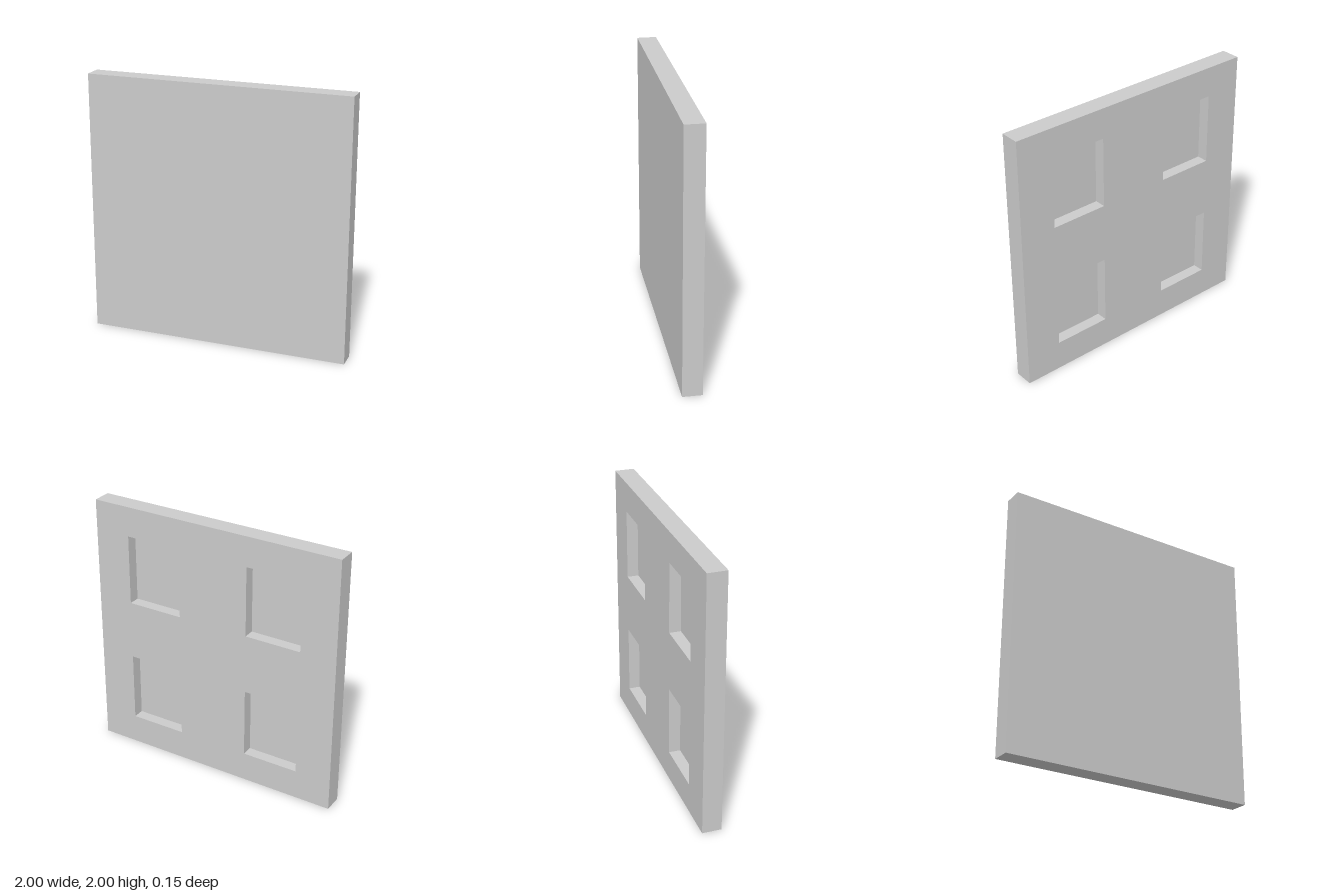
import * as THREE from 'three';

const THICK = 0.146, DEPTH = 0.087;      // panel thickness, pocket depth
const HOLE_W = 0.44, HOLE_H = 0.54;      // pocket size

// Adds a centred rectangle to a shape or path
function rect(path, cx, cy, w, h) {
  path.moveTo(cx - w / 2, cy - h / 2);
  path.lineTo(cx + w / 2, cy - h / 2);
  path.lineTo(cx + w / 2, cy + h / 2);
  path.lineTo(cx - w / 2, cy + h / 2);
  path.closePath();
  return path;
}

export function createModel() {
  const group = new THREE.Group();
  group.name = 'pocketedPanel';
  const material = new THREE.MeshStandardMaterial({ color: 0xcccccc, flatShading: true });

  // Back layer: square frame pierced by a 2 x 2 array of pockets
  const outline = rect(new THREE.Shape(), 0, 1, 2, 2);
  for (const x of [-0.5, 0.5])
    for (const y of [0.5, 1.5])
      outline.holes.push(rect(new THREE.Path(), x, y, HOLE_W, HOLE_H));
  const frame = new THREE.Mesh(
    new THREE.ExtrudeGeometry(outline, { depth: DEPTH, bevelEnabled: false }), material);
  frame.name = 'pocketFrame';
  frame.position.z = -THICK / 2;
  group.add(frame);

  // Front layer: solid sheet that closes the pockets
  const sheetDepth = THICK - DEPTH;
  const sheet = new THREE.Mesh(new THREE.BoxGeometry(2, 2, sheetDepth), material);
  sheet.name = 'frontSheet';
  sheet.position.set(0, 1, THICK / 2 - sheetDepth / 2);
  group.add(sheet);

  return group;
}
